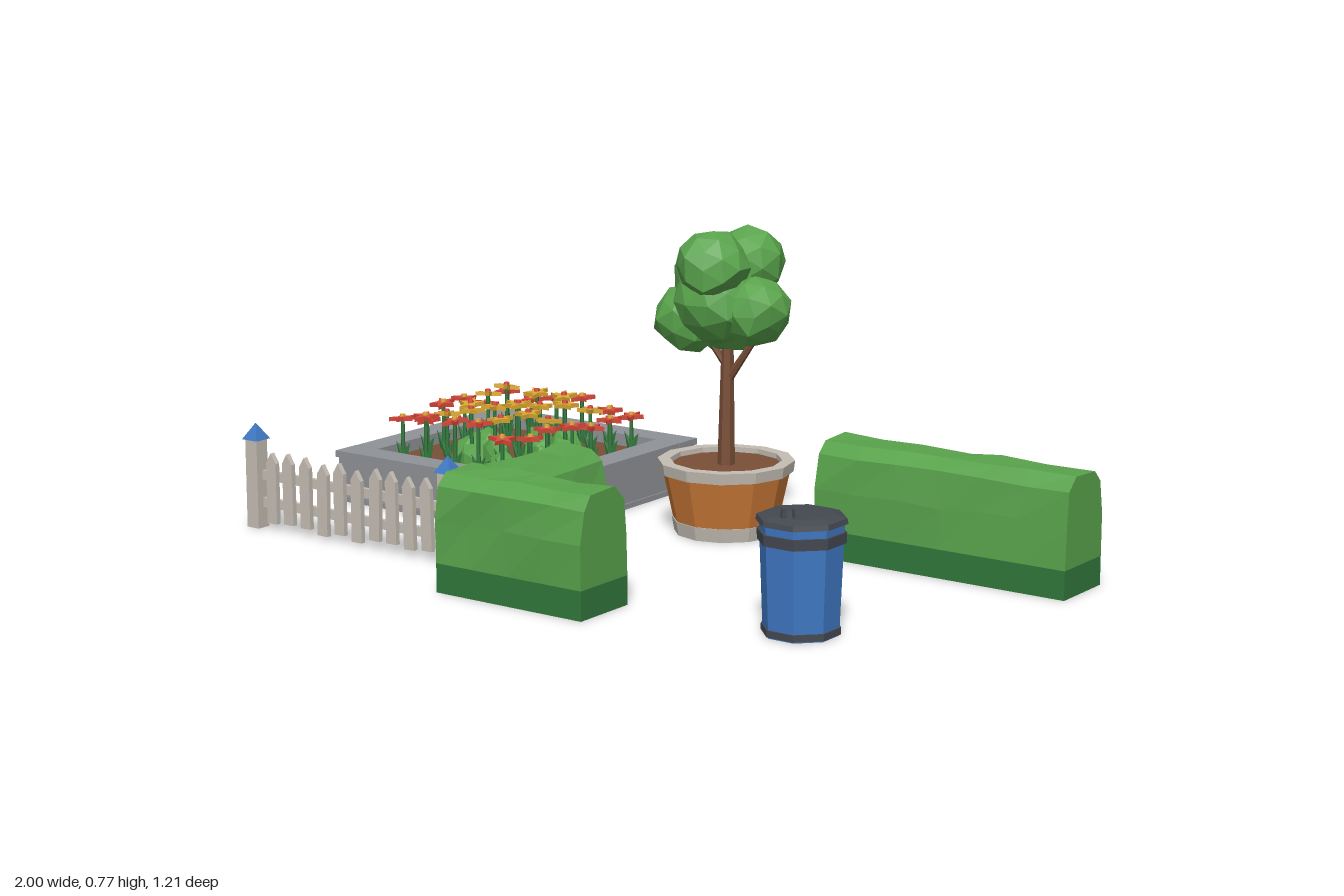
import * as THREE from 'three';
import { mergeVertices } from 'three/addons/utils/BufferGeometryUtils.js';

const mat = (name, color) => {
  const m = new THREE.MeshStandardMaterial({ color, flatShading: true });
  m.name = name;
  return m;
};

export function createModel() {
  const M = {
    leaf: mat('leafGreen', 0x59a34c), dark: mat('darkGreen', 0x32783c),
    blue: mat('blue', 0x3f78c4), grey: mat('stoneGrey', 0x8f9297),
    iron: mat('darkGrey', 0x444951), pale: mat('paleWood', 0xc4bdb3),
    clay: mat('terracotta', 0xcb7a37), brown: mat('earthBrown', 0x7a4f38),
    red: mat('petalRed', 0xd6483a), gold: mat('petalYellow', 0xd9a530),
  };
  const root = new THREE.Group();
  let seed = 7;
  const rnd = (a = -1, b = 1) => {
    seed = (seed * 16807) % 2147483647;
    return a + (b - a) * seed / 2147483647;
  };
  const group = (name, x = 0, z = 0) => {
    const g = new THREE.Group();
    g.name = name;
    g.position.set(x, 0, z);
    root.add(g);
    return g;
  };
  const add = (parent, name, geo, m, x = 0, y = 0, z = 0) => {
    const mesh = new THREE.Mesh(geo, m);
    mesh.name = name;
    mesh.position.set(x, y, z);
    parent.add(mesh);
    return mesh;
  };
  const box = (p, name, m, x0, x1, y0, y1, z0, z1) => add(p, name,
    new THREE.BoxGeometry(x1 - x0, y1 - y0, z1 - z0), m, (x0 + x1) / 2, (y0 + y1) / 2, (z0 + z1) / 2);
  // Tapered prism between two heights
  const prism = (p, name, m, rBottom, rTop, y0, y1, sides, turn = 0, x = 0, z = 0) => {
    const geo = new THREE.CylinderGeometry(rTop, rBottom, y1 - y0, sides).rotateY(turn);
    return add(p, name, geo, m, x, (y0 + y1) / 2, z);
  };
  // Round bar from point a to point b
  const bar = (p, name, m, a, b, r0, r1) => {
    const A = new THREE.Vector3(...a), B = new THREE.Vector3(...b), d = B.clone().sub(A);
    const mesh = add(p, name, new THREE.CylinderGeometry(r1, r0, d.length(), 6), m);
    mesh.position.copy(A).add(B).multiplyScalar(0.5);
    mesh.quaternion.setFromUnitVectors(new THREE.Vector3(0, 1, 0), d.normalize());
  };
  // Faceted, slightly irregular ball
  const blob = (p, name, m, x, y, z, r, detail, rough) => {
    let geo = new THREE.IcosahedronGeometry(r, detail);
    geo.deleteAttribute('normal');
    geo.deleteAttribute('uv');
    geo = mergeVertices(geo, 1e-4);
    const a = geo.attributes.position;
    for (let i = 0; i < a.count; i++) {
      const k = 1 + rnd() * rough;
      a.setXYZ(i, a.getX(i) * k, a.getY(i) * k, a.getZ(i) * k);
    }
    geo = geo.toNonIndexed();
    geo.computeVertexNormals();
    return add(p, name, geo, m, x, y, z);
  };

  // Hedge running along x: rounded section swept in loops, dark foot below
  const hedgeProfile = [[-0.087, 0.07], [-0.086, 0.17], [-0.078, 0.25], [-0.045, 0.283],
    [0.045, 0.283], [0.078, 0.25], [0.086, 0.17], [0.087, 0.07]];
  const hedge = (name, cx, cz, length, turn) => {
    const g = group(name, cx, cz);
    g.rotation.y = turn;
    const steps = Math.max(3, Math.round(length / 0.11)), n = hedgeProfile.length, pos = [], idx = [];
    for (let i = 0; i <= steps; i++) {
      hedgeProfile.forEach(([z, y], j) => {
        const loose = j > 0 && j < n - 1 ? 0.006 : 0;
        const inner = i > 0 && i < steps ? 0.02 : 0;
        pos.push((i / steps - 0.5) * length + rnd() * inner * (loose ? 1 : 0), y + rnd() * loose, z + rnd() * loose);
      });
    }
    for (let i = 0; i < steps; i++) {
      for (let j = 0; j < n - 1; j++) {
        const a = i * n + j, b = a + n;
        idx.push(a, b, a + 1, b, b + 1, a + 1);
      }
    }
    const e = steps * n;
    for (let j = 1; j < n - 1; j++) idx.push(0, j, j + 1, e, e + j + 1, e + j);
    // The section runs from -z over the top to +z, so flip the winding outward
    for (let i = 0; i < idx.length - 6 * (n - 2); i += 3) [idx[i + 1], idx[i + 2]] = [idx[i + 2], idx[i + 1]];
    for (let i = idx.length - 6 * (n - 2); i < idx.length; i += 3) [idx[i + 1], idx[i + 2]] = [idx[i + 2], idx[i + 1]];
    let geo = new THREE.BufferGeometry();
    geo.setAttribute('position', new THREE.Float32BufferAttribute(pos, 3));
    geo.setIndex(idx.map((v, i) => idx[i - (i % 3) + [0, 2, 1][i % 3]]));
    geo = outward(geo);
    add(g, 'hedgeTop', geo, M.leaf);
    box(g, 'hedgeFoot', M.dark, -length / 2, length / 2, 0, 0.07, -0.087, 0.087);
  };
  // Turns every triangle of a convex-like form away from its axis
  const outward = (indexed) => {
    const geo = indexed.toNonIndexed(), p = geo.attributes.position;
    geo.computeBoundingBox();
    const v = [0, 1, 2].map(() => new THREE.Vector3()), half = geo.boundingBox.max.x;
    for (let i = 0; i < p.count; i += 3) {
      v.forEach((q, k) => q.fromBufferAttribute(p, i + k));
      const c = v[0].clone().add(v[1]).add(v[2]).divideScalar(3);
      const normal = v[1].clone().sub(v[0]).cross(v[2].clone().sub(v[0]));
      const out = Math.abs(c.x) > half - 1e-4 ? new THREE.Vector3(c.x, 0, 0) : new THREE.Vector3(0, c.y - 0.15, c.z);
      if (normal.dot(out) < 0) {
        p.setXYZ(i + 1, v[2].x, v[2].y, v[2].z);
        p.setXYZ(i + 2, v[1].x, v[1].y, v[1].z);
      }
    }
    geo.computeVertexNormals();
    return geo;
  };
  hedge('longHedge', 0.66, -0.272, 0.68, 0);
  hedge('cornerHedgeFront', 0, 0.513, 0.42, 0);
  hedge('cornerHedgeSide', -0.123, 0.325, 0.3, Math.PI / 2);

  // Flower bed: four stone walls with caps and feet, filled with soil
  const bed = group('flowerBed', -0.663, -0.27);
  const wall = (x0, x1, z0, z1) => {
    box(bed, 'wallBlock', M.grey, x0 + 0.006, x1 - 0.006, 0.012, 0.118, z0 + 0.006, z1 - 0.006);
    box(bed, 'wallFoot', M.grey, x0 + 0.002, x1 - 0.002, 0, 0.014, z0 + 0.002, z1 - 0.002);
    box(bed, 'wallCap', M.grey, x0, x1, 0.116, 0.133, z0, z1);
  };
  for (const s of [-1, 1]) {
    wall(-0.337, 0.337, s * 0.297 - 0.038, s * 0.297 + 0.038);
    wall(s * 0.297 - 0.038, s * 0.297 + 0.038, -0.258, 0.258);
  }
  box(bed, 'soil', M.brown, -0.265, 0.265, 0.004, 0.1, -0.262, 0.262);

  // Flowers: red around the edge, yellow inside over leafy clumps
  const star = new THREE.Shape();
  for (let i = 0; i < 10; i++) {
    const r = i % 2 ? 0.015 : 0.036, a = i * Math.PI / 5;
    star[i ? 'lineTo' : 'moveTo'](r * Math.cos(a), r * Math.sin(a));
  }
  const starGeo = new THREE.ExtrudeGeometry(star, { depth: 0.011, bevelEnabled: false }).rotateX(-Math.PI / 2);
  const leafGeo = new THREE.ConeGeometry(0.014, 0.05, 4).scale(1, 1, 0.4);
  for (let i = 0; i < 6; i++) {
    for (let j = 0; j < 6; j++) {
      const inner = i > 0 && i < 5 && j > 0 && j < 5;
      const x = (i - 2.5) * 0.084 + rnd() * 0.01, z = (j - 2.5) * 0.087 + rnd() * 0.01;
      const y = inner ? rnd(0.205, 0.25) : rnd(0.185, 0.23);
      prism(bed, 'stem', M.dark, 0.006, 0.005, 0.095, y, 5, 0, x, z);
      for (const s of [-1, 1]) {
        add(bed, 'stemLeaf', leafGeo, M.dark, x + s * 0.012, 0.13, z).rotation.z = -s * 0.5;
      }
      const head = add(bed, 'flowerPetals', starGeo, inner ? M.gold : M.red, x, y, z);
      head.rotation.set(rnd() * 0.15, rnd() * 3, rnd() * 0.15);
      prism(bed, 'flowerCentre', inner ? M.red : M.gold, 0.009, 0.007, y + 0.008, y + 0.018, 6, 0, x, z);
      if (inner && (i + j * 2) % 3 !== 0) {
        blob(bed, 'leafClump', M.leaf, x + 0.02, 0.115, z + 0.02, rnd(0.04, 0.052), 0, 0.15).rotation.y = rnd() * 3;
      }
    }
  }

  // Picket fence
  const fence = group('fence', -0.663, 0.385);
  for (const s of [-1, 1]) {
    box(fence, 'fencePost', M.pale, s * 0.312 - 0.019, s * 0.312 + 0.019, 0, 0.225, -0.019, 0.019);
    prism(fence, 'postCap', M.blue, 0.035, 0.001, 0.225, 0.265, 4, Math.PI / 4, s * 0.312);
  }
  for (const y of [0.065, 0.135]) box(fence, 'fenceRail', M.pale, -0.3, 0.3, y - 0.012, y + 0.012, -0.012, 0);
  const picket = new THREE.Shape([[-0.016, 0], [0.016, 0], [0.016, 0.155], [0, 0.18], [-0.016, 0.155]]
    .map(([x, y]) => new THREE.Vector2(x, y)));
  const picketGeo = new THREE.ExtrudeGeometry(picket, { depth: 0.013, bevelEnabled: false });
  for (let i = 0; i < 10; i++) {
    const m = add(fence, 'picket', picketGeo, M.pale, (i - 4.5) * 0.056, 0.018 + rnd() * 0.007, 0);
    m.rotation.z = rnd() * 0.03;
  }

  // Potted tree
  const tree = group('pottedTree', 0, -0.27);
  prism(tree, 'potFoot', M.pale, 0.13, 0.136, 0, 0.035, 12);
  prism(tree, 'potBody', M.clay, 0.132, 0.16, 0.03, 0.158, 12);
  const rim = [[0.145, 0.155], [0.168, 0.155], [0.172, 0.183], [0.14, 0.183], [0.14, 0.155]];
  add(tree, 'potRim', new THREE.LatheGeometry(rim.map(([x, y]) => new THREE.Vector2(x, y)), 12), M.pale);
  prism(tree, 'potSoil', M.brown, 0.142, 0.142, 0.15, 0.17, 12);
  bar(tree, 'trunk', M.brown, [0, 0.165, 0], [0.003, 0.52, 0], 0.022, 0.014);
  bar(tree, 'branch', M.brown, [0.005, 0.385, 0], [0.08, 0.49, 0], 0.011, 0.008);
  bar(tree, 'branch', M.brown, [0, 0.42, 0], [-0.06, 0.51, 0.02], 0.01, 0.007);
  for (const [x, y, z, r] of [[0.01, 0.68, 0.075, 0.092], [0.02, 0.67, -0.06, 0.095], [-0.095, 0.535, 0.02, 0.09],
    [0.09, 0.565, 0.01, 0.088], [-0.01, 0.545, -0.035, 0.1], [0, 0.59, 0.04, 0.105], [-0.05, 0.64, 0.01, 0.085]]) {
    blob(tree, 'foliage', M.leaf, x, y, z, r, 1, 0.09).rotation.y = rnd() * 3;
  }

  // Dustbin with eight flat sides
  const bin = group('dustbin', 0.655, 0.385), eighth = Math.PI / 8;
  for (const [name, m, r0, r1, y0, y1] of [
    ['binFoot', M.iron, 0.09, 0.09, 0.003, 0.019], ['binBody', M.blue, 0.086, 0.096, 0, 0.255],
    ['binBand', M.iron, 0.1, 0.101, 0.21, 0.235], ['binLid', M.iron, 0.104, 0.101, 0.254, 0.266],
    ['binLidTop', M.iron, 0.1, 0.075, 0.266, 0.274]]) prism(bin, name, m, r0, r1, y0, y1, 8, eighth);
  prism(bin, 'lidKnob', M.iron, 0.018, 0.014, 0.27, 0.294, 8, eighth, 0, 0.055);

  return root;
}
